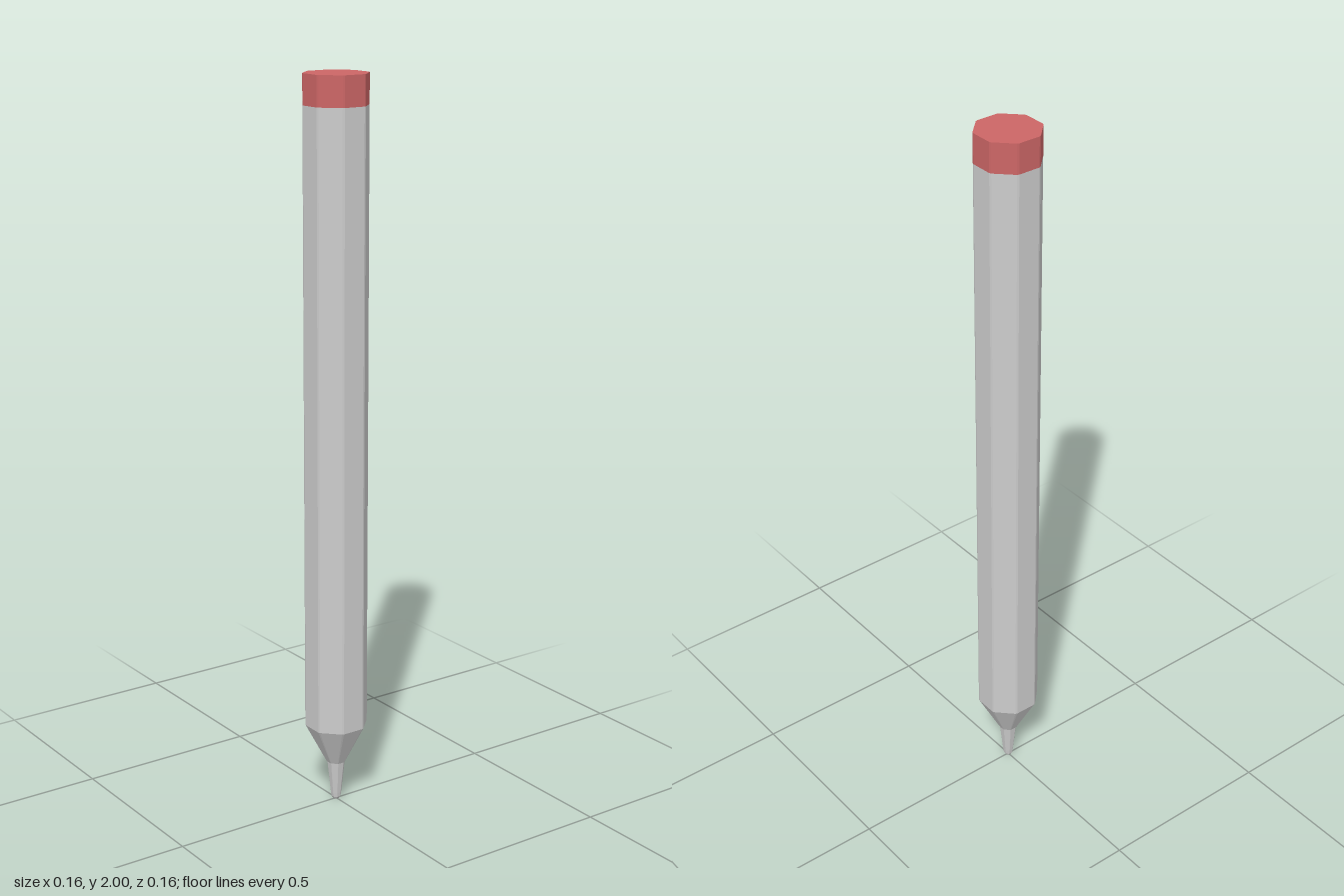
import * as THREE from 'three';

const APOTHEM = 0.081; // centre to flat side of the octagonal barrel
const CHAMFER = 0.003; // half-width of the softened corner

// Lofts a [scale, y] profile around an octagon with slightly cut corners.
function octagonLoft(profile) {
  const points = profile.map(([s, y]) => new THREE.Vector2(s, y));
  const geo = new THREE.LatheGeometry(points, 16);
  const pos = geo.attributes.position;
  const half = APOTHEM * Math.tan(Math.PI / 8) - CHAMFER;
  const reach = Math.hypot(APOTHEM, half);
  const offset = Math.atan2(half, APOTHEM);
  for (let i = 0; i < pos.count; i++) {
    const step = Math.floor(i / profile.length) % 16;
    const scale = profile[i % profile.length][0];
    const side = Math.floor(step / 2) * Math.PI / 4;
    const angle = side + (step % 2 ? offset : -offset);
    pos.setX(i, Math.sin(angle) * reach * scale);
    pos.setZ(i, Math.cos(angle) * reach * scale);
  }
  geo.computeVertexNormals();
  return geo;
}

export function createModel() {
  const group = new THREE.Group();
  const grey = new THREE.MeshStandardMaterial({ color: 0xcccccc, flatShading: true });
  const red = new THREE.MeshStandardMaterial({ color: 0xcc6666, flatShading: true });

  const add = (name, geometry, material) => {
    const mesh = new THREE.Mesh(geometry, material);
    mesh.name = name;
    group.add(mesh);
  };

  // Long faceted barrel
  add('barrel', octagonLoft([[1, 0.23], [1, 1.92]]), grey);

  // Coloured end cap, closed on top
  add('endCap', octagonLoft([[1, 1.92], [1, 2], [0, 2]]), red);

  // Tapered nose below the barrel
  add('nose', octagonLoft([[0, 0.115], [0.31, 0.115], [1, 0.23]]), grey);

  // Slim writing tip with a rounded end
  add('tip', octagonLoft([
    [0, 0], [0.1, 0.001], [0.15, 0.008], [0.17, 0.02], [0.29, 0.118], [0, 0.118],
  ]), grey);

  return group;
}
